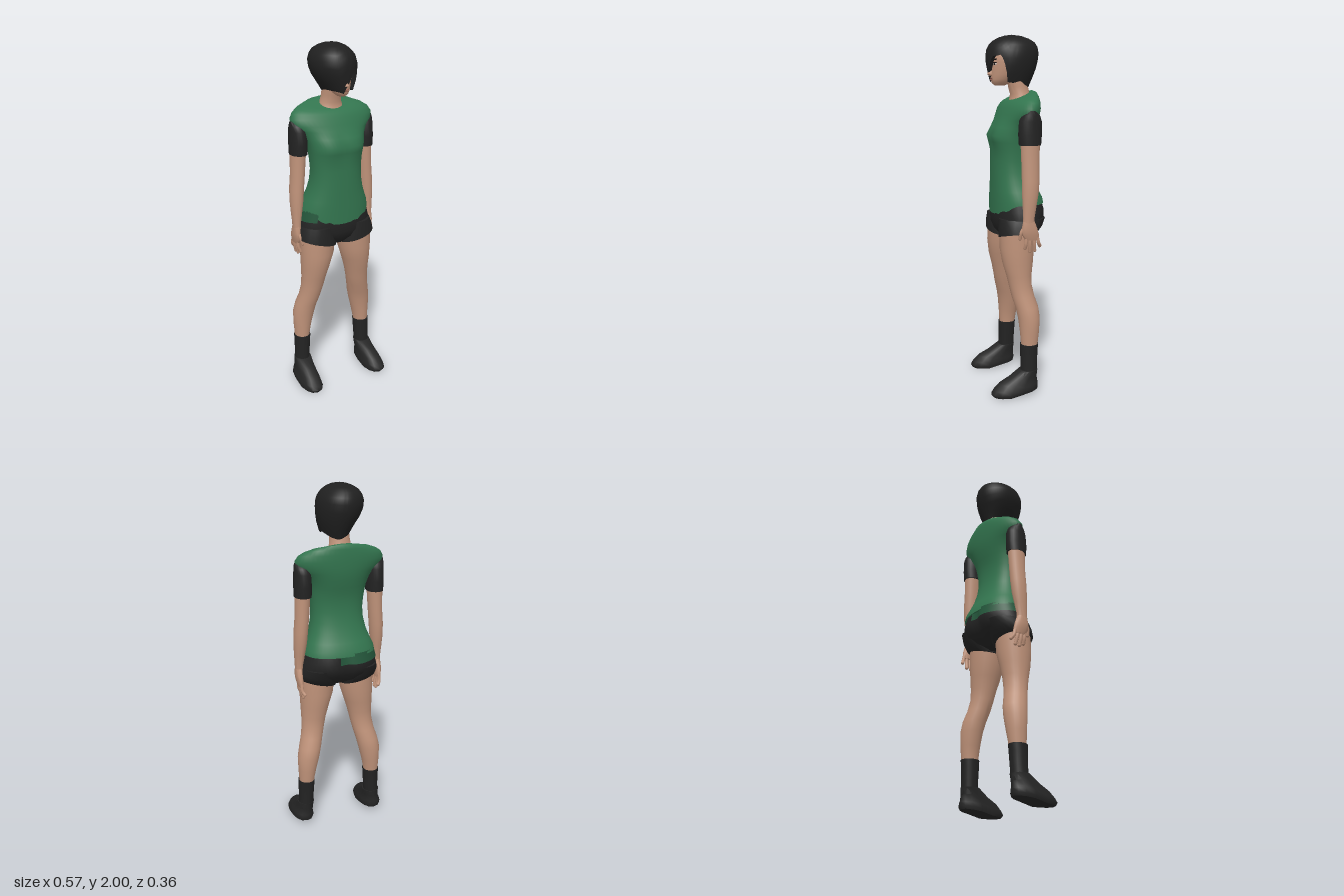
import * as THREE from 'three';
import { toCreasedNormals } from 'three/addons/utils/BufferGeometryUtils.js';

const mat = (name, color, side = THREE.FrontSide) => {
  const m = new THREE.MeshStandardMaterial({ color, side });
  m.name = name;
  return m;
};

// Ring: [y, centreX, halfWidth, zFront, zBack, squareness, tiltX, tiltZ]; a is the angle from the front.
// Skins rings listed from bottom to top; an optional rule moves each vertex.
function loft(rings, { n = 32, side = 1, a0 = 0, a1 = Math.PI * 2, cap = true, rule } = {}) {
  const pos = [], idx = [], w = n + 1, v = new THREE.Vector3();
  const sp = (t, p) => Math.sign(t) * Math.pow(Math.abs(t), p);
  const closed = cap;
  const cols = closed ? n : w;
  rings.forEach(([y, x, rx, zf, zb, p = 1, tx = 0, tz = 0]) => {
    for (let j = 0; j < cols; j++) {
      const a = a0 + (a1 - a0) * j / n;
      const dx = rx * sp(Math.sin(a), p), dz = (zf - zb) / 2 * sp(Math.cos(a), p);
      v.set(side * x + dx, y + tx * side * dx + tz * dz, (zf + zb) / 2 + dz);
      if (rule) rule(v);
      pos.push(v.x, v.y, v.z);
    }
  });
  const at = (i, j) => i * cols + (closed ? j % n : j);
  for (let i = 0; i < rings.length - 1; i++)
    for (let j = 0; j < n; j++)
      idx.push(at(i, j), at(i, j + 1), at(i + 1, j), at(i, j + 1), at(i + 1, j + 1), at(i + 1, j));
  if (cap) {
    [0, rings.length - 1].forEach((i, top) => {
      const r = rings[i], c = pos.length / 3;
      pos.push(side * r[1], r[0], (r[3] + r[4]) / 2);
      for (let j = 0; j < n; j++) top ? idx.push(c, at(i, j), at(i, j + 1)) : idx.push(c, at(i, j + 1), at(i, j));
    });
  }
  const g = new THREE.BufferGeometry();
  g.setAttribute('position', new THREE.Float32BufferAttribute(pos, 3));
  g.setIndex(idx);
  return toCreasedNormals(g, 1.1);
}

const bump = (x, y, cx, cy, r) => Math.exp(-((Math.abs(x) - cx) ** 2 + (y - cy) ** 2) / (r * r));

// Piecewise linear lookup in rows sorted by their first value
function lookup(rows, k) {
  let i = 0;
  while (i < rows.length - 2 && k > rows[i + 1][0]) i++;
  const a = rows[i], b = rows[i + 1], t = THREE.MathUtils.clamp((k - a[0]) / (b[0] - a[0]), 0, 1);
  return a.map((q, c) => q + (b[c] - q) * t);
}

// Bob with a side parting, a long fringe and a hemline that changes with the angle
function hairGeometry() {
  const hem = [[-180, 1.71], [-140, 1.725], [-100, 1.755], [-70, 1.76], [-40, 1.755], [-20, 1.745], [8, 1.81], [28, 1.88],
    [52, 1.89], [62, 1.83], [70, 1.745], [85, 1.74], [105, 1.75], [140, 1.725], [180, 1.71]];
  // y, left edge, right edge, front, back
  const shape = [[1.7, -0.05, 0.065, 0.09, -0.095], [1.75, -0.065, 0.092, 0.118, -0.115], [1.8, -0.1, 0.107, 0.126, -0.14],
    [1.85, -0.13, 0.115, 0.132, -0.158], [1.9, -0.14, 0.115, 0.133, -0.166], [1.935, -0.131, 0.105, 0.122, -0.16],
    [1.96, -0.115, 0.086, 0.102, -0.145], [1.98, -0.088, 0.06, 0.072, -0.11], [1.993, -0.055, 0.03, 0.035, -0.068],
    [2, -0.012, -0.012, -0.015, -0.015]];
  const steps = [0, 0.025, 0.07, 0.14, 0.23, 0.35, 0.5, 0.65, 0.82, 1, 0.97], n = 72, pos = [], idx = [];
  steps.forEach((s, i) => {
    for (let j = 0; j < n; j++) {
      const deg = -180 + 360 * j / n, a = deg * Math.PI / 180;
      const y = 2 - (2 - lookup(hem, deg)[1]) * s;
      const [, l, r, f, b] = lookup(shape, y);
      const k = i === steps.length - 1 ? 0.8 : 1;
      pos.push((l + r) / 2 + k * (r - l) / 2 * Math.sin(a), y, (f + b) / 2 + k * (f - b) / 2 * Math.cos(a));
    }
  });
  for (let i = 0; i < steps.length - 1; i++)
    for (let j = 0; j < n; j++) {
      const a = i * n + j, b = i * n + (j + 1) % n;
      idx.push(a, a + n, b, b, a + n, b + n);
    }
  const g = new THREE.BufferGeometry();
  g.setAttribute('position', new THREE.Float32BufferAttribute(pos, 3));
  g.setIndex(idx);
  return toCreasedNormals(g, 1);
}

export function createModel() {
  const group = new THREE.Group();
  const skin = mat('skin', 0xc0937a), green = mat('shirt green', 0x33754f);
  const darkGreen = mat('dark green', 0x24563b, THREE.DoubleSide);
  const black = mat('black cloth', 0x232323), hair = mat('hair black', 0x202020, THREE.DoubleSide);
  const shoeBlack = mat('shoe black', 0x252525), eyeDark = mat('eye dark', 0x1c1513);
  const eyeWhite = mat('eye white', 0xcfc4bb), lip = mat('lip', 0xa06a5c);
  const add = (name, geo, m, parent = group) => {
    const mesh = new THREE.Mesh(geo, m);
    mesh.name = name;
    parent.add(mesh);
    return mesh;
  };
  const blob = (name, m, [x, y, z], [sx, sy, sz], ry = 0, rz = 0) => {
    const e = add(name, new THREE.SphereGeometry(1, 14, 10), m);
    e.position.set(x, y, z);
    e.scale.set(sx, sy, sz);
    e.rotation.set(0, ry, rz);
  };

  // Shirt with bust and a dipping front hem
  add('shirt', loft([
    [1.08, 0, 0.205, 0.106, -0.176, 0.85], [1.11, 0, 0.2, 0.106, -0.17, 0.85], [1.15, 0, 0.182, 0.105, -0.15, 0.85],
    [1.2, 0, 0.163, 0.105, -0.128, 0.85], [1.26, 0, 0.15, 0.104, -0.112, 0.85], [1.32, 0, 0.147, 0.103, -0.102, 0.85],
    [1.38, 0, 0.152, 0.102, -0.104, 0.85], [1.42, 0, 0.158, 0.106, -0.11, 0.85], [1.455, 0, 0.165, 0.112, -0.12, 0.88],
    [1.5, 0, 0.178, 0.092, -0.132, 0.9], [1.54, 0, 0.205, 0.074, -0.14, 0.95], [1.57, 0, 0.242, 0.06, -0.143],
    [1.605, 0, 0.25, 0.045, -0.145], [1.635, 0, 0.232, 0.03, -0.145, 1, 0, -0.08], [1.655, 0, 0.2, 0.018, -0.143, 1, 0, -0.2],
    [1.67, 0, 0.15, 0.01, -0.14, 1, 0, -0.32], [1.674, 0, 0.078, 0.002, -0.13, 1, 0, -0.4],
  ], {
    n: 48, rule: v => {
      if (v.z > 0) v.z += 0.012 * bump(v.x, v.y, 0.08, 1.45, 0.06);
      if (v.y < 1.085 && v.z > 0.02) v.y -= 0.065 * (1 - (v.x / 0.21) ** 2) + 0.006 * Math.sin(v.x * 90);
    },
  }), green);

  // Shorts, with the under-hem showing on the right hip
  const seat = v => {
    if (v.z < -0.03) v.z -= 0.014 * bump(v.x, v.y, 0.085, 1.01, 0.06) - 0.01 * Math.exp(-((v.x / 0.025) ** 2));
  };
  add('shortsSeat', loft([
    [0.88, 0, 0.05, 0.05, -0.06], [0.92, 0, 0.15, 0.085, -0.12, 0.9], [0.96, 0, 0.222, 0.098, -0.152, 0.88],
    [1.0, 0, 0.22, 0.1, -0.167, 0.87], [1.04, 0, 0.21, 0.1, -0.17, 0.86], [1.1, 0, 0.19, 0.095, -0.16, 0.85],
  ], { n: 40, rule: seat }), black);
  add('shirtUnderHem', loft([[1.035, 0, 0.217, 0.106, -0.176, 0.86], [1.095, 0, 0.202, 0.104, -0.172, 0.85]],
    { a0: -Math.PI * 1.04, a1: -0.75, cap: false, rule: seat }), darkGreen);

  for (const side of [1, -1]) {
    const s = side > 0 ? 'left' : 'right', o = { side, n: 24 };
    add(s + 'ShortsLeg', loft([
      [0.9, 0.123, 0.113, 0.102, -0.106, 0.95, 0.25], [0.95, 0.12, 0.111, 0.102, -0.145, 0.95, 0.15],
      [1.0, 0.115, 0.105, 0.098, -0.165, 1],
    ], o), black);
    add(s + 'Leg', loft([
      [0.25, 0.205, 0.043, -0.004, -0.094], [0.3, 0.204, 0.045, 0, -0.098], [0.36, 0.2, 0.053, 0.004, -0.106],
      [0.44, 0.191, 0.064, 0.012, -0.111], [0.5, 0.178, 0.065, 0.024, -0.106], [0.56, 0.162, 0.064, 0.041, -0.088],
      [0.62, 0.15, 0.066, 0.053, -0.077], [0.68, 0.143, 0.072, 0.066, -0.078], [0.75, 0.134, 0.083, 0.085, -0.088],
      [0.83, 0.123, 0.097, 0.096, -0.097], [0.95, 0.115, 0.104, 0.096, -0.1],
    ], o), skin);
    add(s + 'Sock', loft([[0.1, 0.212, 0.044, 0.005, -0.09], [0.18, 0.208, 0.044, 0.003, -0.092],
      [0.25, 0.206, 0.047, 0.005, -0.096], [0.288, 0.205, 0.048, 0.006, -0.099]], o), black);
    // Shoe: raised heel, low rounded toe
    add(s + 'Shoe', loft([
      [0.012, 0.218, 0.06, 0.172, -0.09, 0.85], [0.028, 0.219, 0.066, 0.182, -0.096, 0.85], [0.05, 0.218, 0.062, 0.168, -0.094, 0.88],
      [0.07, 0.216, 0.056, 0.135, -0.092, 0.92], [0.1, 0.213, 0.052, 0.075, -0.091], [0.138, 0.21, 0.05, 0.014, -0.094],
    ], { side, n: 14, rule: v => { if (v.y < 0.06) v.y += 0.1 * Math.max(0, 0.03 - v.z) - (v.z > 0.05 ? 0.012 : 0); } }), shoeBlack);

    // Arm and sleeve
    add(s + 'Sleeve', loft([
      [1.412, 0.208, 0.047, 0.016, -0.106, 0.95], [1.47, 0.208, 0.048, 0.02, -0.11, 0.95], [1.54, 0.208, 0.047, 0.016, -0.109],
      [1.57, 0.21, 0.045, 0.002, -0.098], [1.595, 0.21, 0.043, -0.025, -0.07],
    ], o), black);
    add(s + 'Arm', loft([
      [0.98, 0.234, 0.021, 0.002, -0.064], [1.02, 0.233, 0.023, 0, -0.064], [1.08, 0.23, 0.03, 0.002, -0.075],
      [1.15, 0.226, 0.037, 0.004, -0.088], [1.22, 0.222, 0.039, 0.004, -0.094], [1.3, 0.215, 0.039, 0.004, -0.095],
      [1.45, 0.208, 0.043, 0.008, -0.1],
    ], o), skin);
    add(s + 'Palm', loft([
      [0.895, 0.232, 0.013, -0.012, -0.09], [0.925, 0.235, 0.018, 0.006, -0.09], [0.96, 0.236, 0.021, 0.01, -0.08],
      [1.0, 0.234, 0.021, 0.001, -0.064],
    ], o), skin);
    // Four fingers and a thumb
    const tips = [[-0.018, 0.848, -0.014], [-0.038, 0.832, -0.042], [-0.06, 0.834, -0.07], [-0.08, 0.858, -0.1]];
    const fingers = tips.map(([z, y, tz]) => [[0.233, 0.915, z], [0.232, 0.875, (z + tz) / 2], [0.222, y, tz]]);
    fingers.push([[0.234, 0.965, -0.002], [0.23, 0.935, 0.012], [0.222, 0.905, 0.015]]);
    fingers.forEach((pts, i) => {
      const p = pts.map(([x, y, z]) => new THREE.Vector3(x * side, y, z));
      add(s + (i < 4 ? 'Finger' : 'Thumb'), new THREE.TubeGeometry(new THREE.CatmullRomCurve3(p), 6, 0.01, 8), skin);
      blob(s + 'Fingertip', skin, p[2].toArray(), [0.01, 0.01, 0.01]);
    });

    // Eye and brow
    blob(s + 'Eye', eyeWhite, [0.036 * side, 1.842, 0.097], [0.016, 0.007, 0.004], 0.4 * side);
    blob(s + 'Iris', eyeDark, [0.036 * side, 1.842, 0.1], [0.007, 0.007, 0.003], 0.4 * side);
    blob(s + 'Eyelid', eyeDark, [0.037 * side, 1.849, 0.098], [0.018, 0.003, 0.004], 0.4 * side);
    blob(s + 'Brow', eyeDark, [0.038 * side, 1.866, 0.098], [0.02, 0.004, 0.004], 0.4 * side, 0.12 * side);
  }

  // Neck and head
  add('neck', loft([[1.61, 0, 0.085, 0.015, -0.12], [1.65, 0, 0.073, 0.0, -0.12], [1.68, 0, 0.06, -0.004, -0.113],
    [1.72, 0, 0.054, 0.008, -0.103], [1.78, 0, 0.053, 0.02, -0.095]]), skin);
  add('head', loft([
    [1.727, 0, 0.02, 0.088, 0.03], [1.74, 0, 0.037, 0.105, 0.0], [1.76, 0, 0.051, 0.108, -0.03], [1.785, 0, 0.062, 0.108, -0.06],
    [1.82, 0, 0.072, 0.109, -0.09], [1.85, 0, 0.077, 0.108, -0.105], [1.89, 0, 0.08, 0.11, -0.115], [1.93, 0, 0.07, 0.085, -0.1],
    [1.96, 0, 0.045, 0.05, -0.07],
  ]), skin);
  add('nose', loft([[1.778, 0, 0.012, 0.118, 0.09], [1.787, 0, 0.016, 0.131, 0.09], [1.8, 0, 0.011, 0.126, 0.09],
    [1.845, 0, 0.007, 0.111, 0.09]], { n: 12 }), skin);
  blob('upperLip', lip, [0, 1.766, 0.108], [0.021, 0.004, 0.005]);
  blob('lowerLip', lip, [0, 1.758, 0.108], [0.017, 0.004, 0.005]);
  add('hair', hairGeometry(), hair);
  return group;
}
